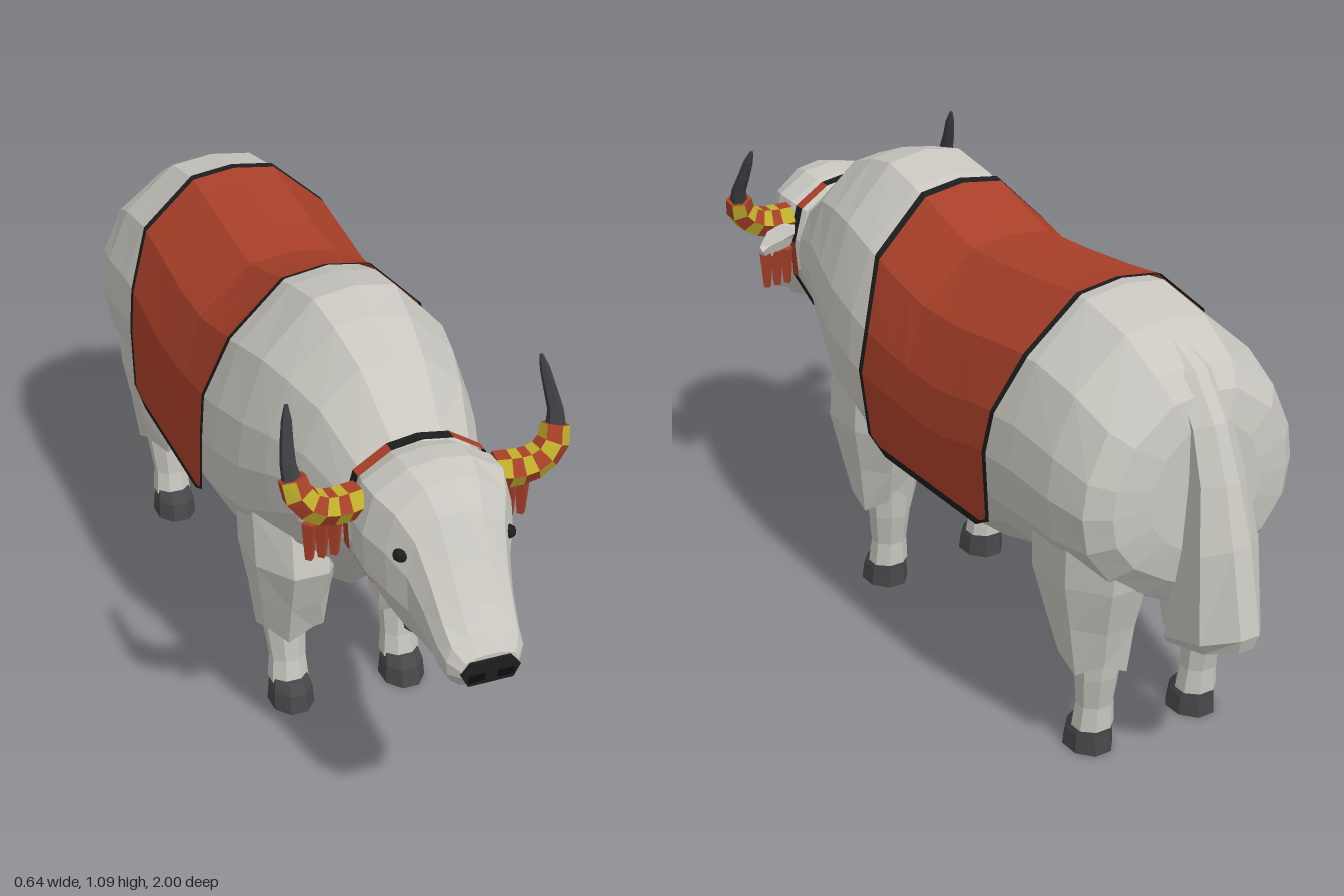
import * as THREE from 'three';

const mat = (name, color, side = THREE.FrontSide) => {
  const m = new THREE.MeshStandardMaterial({ color, side });
  m.name = name;
  return m;
};
const fur = mat('fur', 0xc8c6bf);
const red = mat('redWool', 0xa94029, THREE.DoubleSide);
const black = mat('blackTrim', 0x1d1d1d, THREE.DoubleSide);
const yellow = mat('yellowWool', 0xc0b02c);
const hoofMat = mat('hoof', 0x48484a);
const hornMat = mat('horn', 0x3d3d40);
const dark = mat('nostril', 0x0c0c0c);

const V = (x, y, z) => new THREE.Vector3(x, y, z);
const lerp = THREE.MathUtils.lerp;

// Faceted skin over a list of rings; pick(i, j) chooses the material of a quad.
// The winding is turned outward by the sign of the enclosed volume.
function loft(name, rings, mats, { pick = () => 0, open = false } = {}) {
  const tris = [];
  const n = rings[0].length;
  for (let i = 0; i < rings.length - 1; i++) {
    for (let j = 0; j < (open ? n - 1 : n); j++) {
      const k = (j + 1) % n;
      const [a, b, c, d] = [rings[i][j], rings[i][k], rings[i + 1][k], rings[i + 1][j]];
      tris.push([a, b, c, pick(i, j)], [a, c, d, pick(i, j)]);
    }
  }
  if (!open) {
    [[rings[0], true], [rings[rings.length - 1], false]].forEach(([r, first]) => {
      const mid = r.reduce((s, p) => s.add(p), V(0, 0, 0)).divideScalar(n);
      r.forEach((p, j) => {
        const q = r[(j + 1) % n];
        tris.push(first ? [mid, q, p, 0] : [mid, p, q, 0]);
      });
    });
  }
  const volume = tris.reduce((s, [a, b, c]) => s + a.dot(b.clone().cross(c)), 0);
  const pts = [];
  const geo = new THREE.BufferGeometry();
  tris.forEach(([a, b, c, m], i) => {
    pts.push(...(volume < 0 ? [a, c, b] : [a, b, c]));
    geo.addGroup(i * 3, 3, m);
  });
  if (!Array.isArray(mats)) geo.clearGroups();
  geo.setFromPoints(pts);
  geo.computeVertexNormals();
  const mesh = new THREE.Mesh(geo, mats);
  mesh.name = name;
  return mesh;
}

function part(name, geo, material, x = 0, y = 0, z = 0) {
  const g = geo.index ? geo.toNonIndexed() : geo;
  g.computeVertexNormals();
  const mesh = new THREE.Mesh(g, material);
  mesh.name = name;
  mesh.position.set(x, y, z);
  return mesh;
}

// Symmetric ring from a half profile of [width fraction, depth fraction]
function ring(profile, [z, top, bot, w]) {
  const half = profile.map(([u, v]) => V(u * w, lerp(top, bot, v), z));
  const other = half.slice(1, -1).reverse().map(p => V(-p.x, p.y, p.z));
  return [...half, ...other];
}

// Stations: z, top, bottom, half width
const bodyProfile = [[0, 0], [.35, .02], [.78, .18], [.96, .37], [1, .51], [.95, .66], [.74, .8], [.36, .92], [0, 1]];
const bodyStations = [
  [.64, .89, .60, .14], [.6, .915, .565, .16], [.47, 1.02, .50, .205], [.36, 1.065, .40, .243],
  [.26, 1.088, .31, .27], [.14, 1.065, .285, .285], [.04, 1.03, .275, .287], [-.1, .985, .30, .287],
  [-.25, .993, .27, .287], [-.42, 1.008, .33, .287], [-.54, 1.025, .33, .288], [-.68, .995, .34, .287],
  [-.78, .935, .38, .27], [-.822, .885, .44, .225], [-.838, .82, .52, .14]];
const headProfile = [[0, 0], [.42, .03], [.86, .16], [1, .4], [.96, .65], [.64, .92], [0, 1]];
const headStations = [
  [.61, .90, .585, .15], [.66, .917, .58, .168], [.72, .923, .56, .167], [.78, .91, .538, .142],
  [.83, .86, .53, .114], [.88, .775, .526, .099], [.93, .70, .512, .091], [.965, .655, .53, .085],
  [.99, .62, .552, .064]];

function bodyAt(z) {
  const i = Math.max(1, bodyStations.findIndex(s => s[0] <= z));
  const [a, b] = [bodyStations[i - 1], bodyStations[i]];
  const t = (z - a[0]) / (b[0] - a[0]);
  return a.map((q, k) => lerp(q, b[k], t));
}

// Saddle blanket draped on the back; its outermost strips are the dark border
function blanket() {
  const half = [ // width fraction, depth fraction or fixed height, front z, back z
    [0, { v: 0 }, .107, -.527], [.35, { v: .02 }, .107, -.527], [.78, { v: .18 }, .104, -.519],
    [.96, { v: .37 }, .067, -.472], [1, { v: .51 }, .079, -.457], [.98, { y: .512 }, .052, -.462],
    [.97, { y: .495 }, .022, -.432], [.96, { y: .476 }, -.015, -.4]];
  const rows = [...half.slice(1).reverse().map(([u, ...r]) => [-u, ...r]), ...half];
  const steps = [0, .028, .12, .23, .34, .45, .56, .67, .78, .88, .972, 1];
  const grid = steps.map(t => rows.map(([u, h, f, b]) => {
    const z = lerp(f, b, t);
    const [, top, bot, w] = bodyAt(z);
    return V(u * (w + .006), h.y ?? lerp(top, bot, h.v) + .01, z);
  }));
  const edge = (i, n) => i === 0 || i === n - 2;
  return loft('blanket', grid, [red, black],
    { open: true, pick: (i, j) => (edge(i, steps.length) || edge(j, rows.length) ? 1 : 0) });
}

// Horizontal eight-sided ring; jag lowers every second corner
function legRing(s, [y, cx, cz, rx, rz, jag = 0]) {
  return Array.from({ length: 8 }, (_, i) => {
    const a = (i + .5) * Math.PI / 4;
    return V(s * (cx + 1.06 * rx * Math.cos(a)), y - (i % 2) * jag, cz + 1.06 * rz * Math.sin(a));
  });
}

function leg(name, s, skirt, z) {
  const g = new THREE.Group();
  g.name = name;
  const build = (n, list, m) => g.add(loft(n, list.map(r => legRing(s, r)), m));
  build('shaggyUpperLeg', skirt, fur);
  build('shank', [[.3, .145, z - .02, .055, .054], [.2, .145, z - .016, .048, .045],
    [.12, .142, z - .006, .041, .037], [.06, .142, z, .046, .042]], fur);
  build('hoof', [[.07, .142, z + .005, .041, .045], [.045, .142, z + .015, .048, .055],
    [0, .142, z + .018, .051, .062]], hoofMat);
  return g;
}

// Tube of six-sided rings along points [x, y, z, radius]
function hornRings(s, pts) {
  return pts.map((p, i) => {
    const a = pts[Math.max(0, i - 1)], b = pts[Math.min(pts.length - 1, i + 1)];
    const t = V(b[0] - a[0], b[1] - a[1], b[2] - a[2]).normalize();
    const nrm = t.clone().cross(V(0, 0, 1)).normalize();
    const bin = t.clone().cross(nrm);
    return Array.from({ length: 6 }, (_, k) => {
      const angle = (k + .5) * Math.PI / 3;
      const q = V(p[0], p[1], p[2])
        .addScaledVector(nrm, p[3] * Math.cos(angle))
        .addScaledVector(bin, p[3] * Math.sin(angle));
      q.x *= s;
      return q;
    });
  });
}

function headSide(s) {
  const g = new THREE.Group();
  g.name = s > 0 ? 'leftHeadDetails' : 'rightHeadDetails';
  // Checked wool wrap and bare horn tip
  g.add(loft('hornWrap', hornRings(s, [[.15, .825, .66, .038], [.183, .822, .664, .04],
    [.21, .823, .667, .039], [.237, .828, .668, .038], [.264, .843, .668, .036],
    [.285, .868, .664, .035], [.293, .902, .654, .031]]), [red, yellow], { pick: (i, j) => (i + j) % 2 }));
  g.add(loft('hornTip', hornRings(s, [[.293, .895, .655, .022], [.297, .93, .642, .017],
    [.292, .97, .622, .014], [.286, 1.01, .606, .011], [.282, 1.038, .594, .004]]), hornMat));
  // Drooping ear with a fringe of tassels
  const ear = [[.14, .80, .635, .02], [.2, .79, .62, .037], [.24, .785, .612, .034], [.264, .775, .608, .01]];
  g.add(loft('ear', ear.map(([x, y, z, h]) =>
    [V(s * x, y + h, z), V(s * x, y, z + .012), V(s * x, y - h, z), V(s * x, y, z - .012)]), fur));
  [.186, .214, .242].forEach(x => g.add(part('earTassel',
    new THREE.CylinderGeometry(.018, .01, .09, 4), red, s * x, .717, .62)));
  const eye = part('eye', new THREE.SphereGeometry(.018, 8, 6), black, s * .118, .77, .806);
  eye.scale.set(1, .85, 1);
  g.add(eye);
  g.add(part('nostril', new THREE.BoxGeometry(.035, .016, .004), dark, s * .032, .575, .999));
  return g;
}

function nosePad() {
  const shape = new THREE.Shape([[-.065, .585], [-.045, .61], [.045, .61], [.065, .585], [.05, .557], [-.05, .557]]
    .map(([x, y]) => new THREE.Vector2(x, y)));
  return part('nosePad', new THREE.ExtrudeGeometry(shape, { depth: .035, bevelEnabled: false }), black, 0, 0, .963);
}

// Flat, widening tail: back z, back y, front z, front y, half width
function tail() {
  const rows = [[-.71, .975, -.69, .92, .04], [-.80, .93, -.75, .87, .048], [-.872, .835, -.79, .80, .05],
    [-.92, .72, -.82, .70, .058], [-.96, .59, -.825, .53, .076], [-1, .40, -.79, .32, .08],
    [-.988, .365, -.785, .30, .062]];
  return loft('tail', rows.map(([bz, by, fz, fy, w]) => [[.3, 0], [1, .3], [.75, 1], [-.75, 1], [-1, .3], [-.3, 0]]
    .map(([u, t]) => V(u * w, lerp(by, fy, t), lerp(bz, fz, t)))), fur);
}

export function createModel() {
  const model = new THREE.Group();
  model.name = 'ox';
  model.add(loft('body', bodyStations.map(s => ring(bodyProfile, s)), fur));
  model.add(loft('head', headStations.map(s => ring(headProfile, s)), fur));
  model.add(nosePad(), tail(), blanket());

  // Legs: y, centre x, centre z, radius x, radius z, ragged hem
  const front = [[.75, .12, .2, .08, .1], [.59, .142, .228, .108, .138], [.45, .146, .245, .104, .148],
    [.34, .145, .24, .086, .11], [.25, .142, .235, .074, .075, .03]];
  const hind = [[.8, .11, -.65, .08, .11], [.62, .143, -.645, .116, .16], [.45, .147, -.635, .106, .15],
    [.34, .145, -.645, .088, .11], [.25, .142, -.655, .074, .08, .03]];
  for (const s of [1, -1]) {
    const side = s > 0 ? 'left' : 'right';
    model.add(leg(side + 'FrontLeg', s, front, .222), leg(side + 'HindLeg', s, hind, -.655), headSide(s));
  }

  // Collar in red and black sections, with a bell
  const collarRings = [.608, .637].map(z => ring(headProfile, [z, .918, .558, .166])).map(r => [...r, r[0]]);
  model.add(loft('collar', collarRings, [red, black],
    { open: true, pick: (i, j) => [1, 0, 1, 0, 1, 0, 0, 1, 0, 1, 0, 1][j] }));
  const bell = [[.001, .532], [.012, .53], [.028, .52], [.035, .503], [.031, .47], [.025, .44], [.001, .445]]
    .reverse().map(([x, y]) => new THREE.Vector2(x, y));
  model.add(part('bell', new THREE.LatheGeometry(bell, 8), hoofMat, 0, 0, .625));
  model.add(part('bellStrap', new THREE.BoxGeometry(.014, .04, .012), black, 0, .545, .625));
  return model;
}
